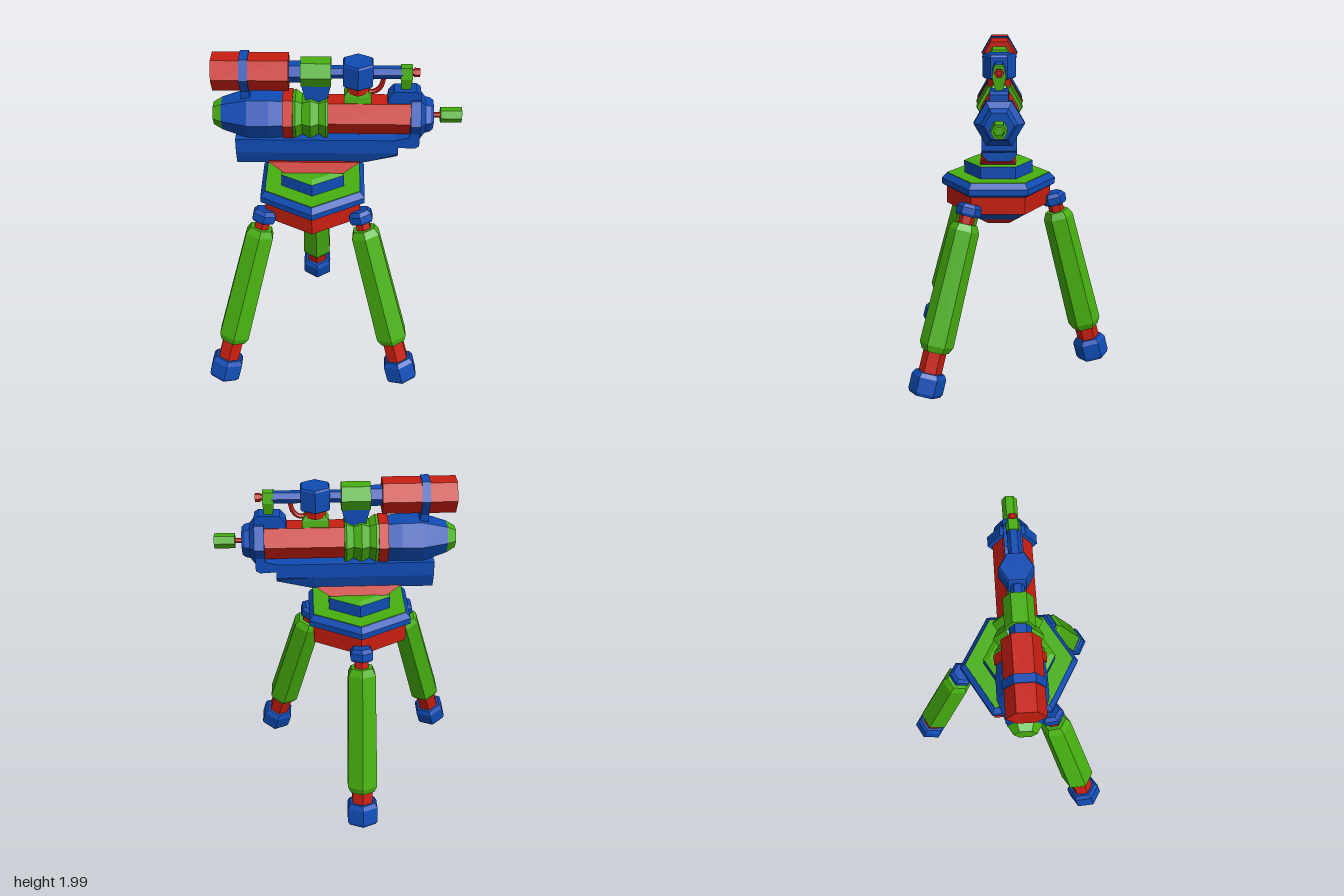
import * as THREE from 'three';

const paint = (c) => new THREE.MeshStandardMaterial({ color: c, flatShading: true, side: THREE.DoubleSide });
const RED = paint(0xc81e10), BLUE = paint(0x0f4cb5), GREEN = paint(0x47b010);
const GUN_Z = 0.066, BARREL_Y = 1.643, SCOPE_Y = 1.904;
const BASE_X = -0.095, BASE_Z = 0.075;

export function createModel() {
  const model = new THREE.Group();
  model.name = 'tripodTurret';

  const add = (name, geometry, material, parent = model) => {
    const mesh = new THREE.Mesh(geometry, material);
    mesh.name = name;
    parent.add(mesh);
    return mesh;
  };

  // Six-sided turned part: profile of [radius, height], closed at both ends
  const hex = (name, material, profile, parent) => {
    const pts = [[0, profile[0][1]], ...profile, [0, profile[profile.length - 1][1]]];
    return add(name, new THREE.LatheGeometry(pts.map(([r, h]) => new THREE.Vector2(r, h)), 6), material, parent);
  };
  // The same, lying along x at height y
  const hexX = (name, material, y, profile) => {
    const mesh = hex(name, material, profile);
    mesh.rotation.z = -Math.PI / 2;
    mesh.position.set(0, y, GUN_Z);
    return mesh;
  };
  // Upright block whose top and bottom sizes differ
  const block = (name, material, x, z, y0, y1, [w0, d0], [w1, d1]) => {
    const geo = new THREE.BoxGeometry(1, y1 - y0, 1);
    const p = geo.attributes.position;
    for (let i = 0; i < p.count; i++) {
      const top = p.getY(i) > 0;
      p.setX(i, p.getX(i) * (top ? w1 : w0));
      p.setZ(i, p.getZ(i) * (top ? d1 : d0));
    }
    add(name, geo, material).position.set(x, (y0 + y1) / 2, z);
  };
  // Side outline in x and y, given a thickness in z
  const plate = (name, material, outline, depth) => {
    const shape = new THREE.Shape(outline.map(([x, y]) => new THREE.Vector2(x, y)));
    const geo = new THREE.ExtrudeGeometry(shape, { depth, bevelEnabled: false });
    add(name, geo, material).position.z = GUN_Z - depth / 2;
  };

  // Hexagonal base, from the bottom up
  const base = new THREE.Group();
  base.name = 'base';
  base.position.set(BASE_X, 0, BASE_Z);
  model.add(base);
  hex('baseBottomCap', GREEN, [[0.12, 0.943], [0.12, 0.95]], base);
  hex('baseLowerRing', RED, [[0.125, 0.945], [0.19, 0.985]], base);
  hex('baseTaper', BLUE, [[0.188, 0.984], [0.311, 1.046]], base);
  hex('baseDrum', RED, [[0.311, 1.046], [0.311, 1.15]], base);
  hex('baseRim', BLUE, [[0.311, 1.148], [0.34, 1.165], [0.34, 1.2], [0.31, 1.231]], base);
  hex('baseDeck', GREEN, [[0.307, 1.225], [0.307, 1.234]], base);
  hex('turntable', BLUE, [[0.204, 1.23], [0.204, 1.307]], base);
  hex('turntableCap', GREEN, [[0.204, 1.307], [0.17, 1.322]], base);

  // Legs: each runs from its foot to its hinge; greenStart is where the shin housing begins
  const leg = (name, foot, hinge, greenStart) => {
    const a = new THREE.Vector3(...foot), b = new THREE.Vector3(...hinge);
    const axis = b.clone().sub(a), n = axis.length();
    const group = new THREE.Group();
    group.name = name;
    group.position.copy(a);
    group.quaternion.setFromUnitVectors(new THREE.Vector3(0, 1, 0), axis.normalize());
    base.add(group);
    hex('foot', BLUE, [[0.092, 0], [0.102, 0.02], [0.102, 0.11], [0.085, 0.135]], group);
    hex('ankle', RED, [[0.068, 0.13], [0.068, greenStart + 0.02]], group);
    hex('legHousing', GREEN, [[0.08, greenStart - 0.02], [0.1, greenStart + 0.02],
      [0.09, n - 0.12], [0.07, n - 0.08]], group);
    hex('hingeNeck', RED, [[0.045, n - 0.09], [0.045, n - 0.02]], group);
    hex('hingeCap', BLUE, [[0.066, n - 0.035], [0.074, n - 0.02], [0.074, n + 0.015], [0.055, n + 0.037]], group);
  };
  leg('backLeg', [0, 0.03, -0.597], [0, 1.07, -0.335], 0.23);
  for (const s of [-1, 1])
    leg(s > 0 ? 'frontLeftLeg' : 'frontRightLeg', [s * 0.545, 0.04, 0.43], [s * 0.275, 1.075, 0.17], 0.28);

  // Pedestal and cradle
  block('pedestal', RED, -0.088, BASE_Z, 1.32, 1.375, [0.33, 0.21], [0.51, 0.15]);
  const section = new THREE.Shape([[-0.065, 1.36], [0.065, 1.36], [0.095, 1.445], [0.095, 1.53],
    [-0.095, 1.53], [-0.095, 1.445]].map(([z, y]) => new THREE.Vector2(z, y)));
  const cradle = new THREE.ExtrudeGeometry(section, { depth: 1, steps: 2, bevelEnabled: false });
  const cp = cradle.attributes.position;
  for (let i = 0; i < cp.count; i++) {
    const t = cp.getZ(i);
    cp.setZ(i, t < 0.25 ? -0.52 : t < 0.75 ? 0.17 : 0.38);
    // The keel rises towards the muzzle
    if (t > 0.75 && cp.getY(i) < 1.4) cp.setY(i, 1.41);
  }
  cradle.rotateY(Math.PI / 2);
  add('cradle', cradle, BLUE).position.z = GUN_Z;
  plate('muzzleBracket', BLUE, [[0.36, 1.485], [0.47, 1.48], [0.495, 1.495], [0.495, 1.6], [0.44, 1.6],
    [0.44, 1.55], [0.36, 1.53]], 0.19);

  // Barrel, from breech to tip
  hexX('breechCap', GREEN, BARREL_Y, [[0.062, -0.64], [0.09, -0.592]]);
  hexX('breech', BLUE, BARREL_Y, [[0.09, -0.592], [0.137, -0.45], [0.137, -0.33], [0.128, -0.25]]);
  hexX('breechRing', RED, BARREL_Y, [[0.14, -0.255], [0.14, -0.2]]);
  hexX('bellows', GREEN, BARREL_Y, [[0.13, -0.2], [0.136, -0.185], [0.112, -0.15], [0.136, -0.105],
    [0.112, -0.06], [0.136, -0.02], [0.13, -0.008]]);
  hexX('barrel', RED, BARREL_Y, [[0.109, -0.01], [0.109, 0.445]]);
  hexX('muzzle', BLUE, BARREL_Y, [[0.136, 0.44], [0.136, 0.495], [0.1, 0.523], [0.094, 0.55], [0.08, 0.568]]);
  hexX('muzzleRod', RED, BARREL_Y, [[0.015, 0.56], [0.015, 0.62]]);
  hexX('barrelTip', GREEN, BARREL_Y, [[0.043, 0.608], [0.043, 0.725], [0.028, 0.725], [0.028, 0.68]]);

  // Scope above the barrel
  hexX('scopeTube', RED, SCOPE_Y, [[0.103, -0.63], [0.103, -0.218]]);
  hexX('scopeBand', BLUE, SCOPE_Y, [[0.111, -0.48], [0.111, -0.433]]);
  block('scopeRearPost', BLUE, -0.457, GUN_Z, 1.74, 1.83, [0.047, 0.08], [0.047, 0.08]);
  hexX('scopeCoupling', BLUE, SCOPE_Y, [[0.058, -0.22], [0.058, -0.15]]);
  hexX('scopeBody', GREEN, SCOPE_Y, [[0.08, -0.155], [0.08, 0.008]]);
  block('scopeMidPost', BLUE, -0.073, GUN_Z, 1.74, 1.845, [0.11, 0.08], [0.162, 0.08]);
  hexX('scopeRod', BLUE, SCOPE_Y, [[0.036, 0], [0.036, 0.39]]);

  // Regulator drum on its saddle
  const drum = (name, material, profile) => hex(name, material, profile).position.set(0.152, 0, GUN_Z);
  drum('regulator', BLUE, [[0.085, 1.835], [0.093, 1.845], [0.093, 1.96], [0.086, 1.97]]);
  drum('regulatorNeck', RED, [[0.065, 1.79], [0.065, 1.836]]);
  block('regulatorSaddle', GREEN, 0.152, GUN_Z, 1.735, 1.775, [0.15, 0.1], [0.15, 0.09]);
  block('regulatorSaddleTop', GREEN, 0.152, GUN_Z, 1.775, 1.81, [0.15, 0.09], [0.1, 0.07]);
  const hose = new THREE.CatmullRomCurve3([[0.19, 1.79], [0.24, 1.787], [0.275, 1.815], [0.295, 1.89]]
    .map(([x, y]) => new THREE.Vector3(x, y, GUN_Z)));
  add('hose', new THREE.TubeGeometry(hose, 8, 0.014, 6), RED);

  // Front sight and its mount
  plate('sightMount', BLUE, [[0.315, 1.74], [0.495, 1.7], [0.495, 1.795], [0.47, 1.812], [0.35, 1.808],
    [0.32, 1.775]], 0.1);
  block('frontSight', GREEN, 0.412, GUN_Z, 1.8, 1.88, [0.05, 0.035], [0.062, 0.076]);
  block('frontSightTop', GREEN, 0.412, GUN_Z, 1.88, 1.94, [0.062, 0.076], [0.062, 0.05]);
  hexX('sightCollar', RED, SCOPE_Y, [[0.018, 0.43], [0.018, 0.455]]);
  hexX('sightNozzle', RED, SCOPE_Y, [[0.025, 0.452], [0.025, 0.483], [0.013, 0.483], [0.013, 0.465]]);

  return model;
}
